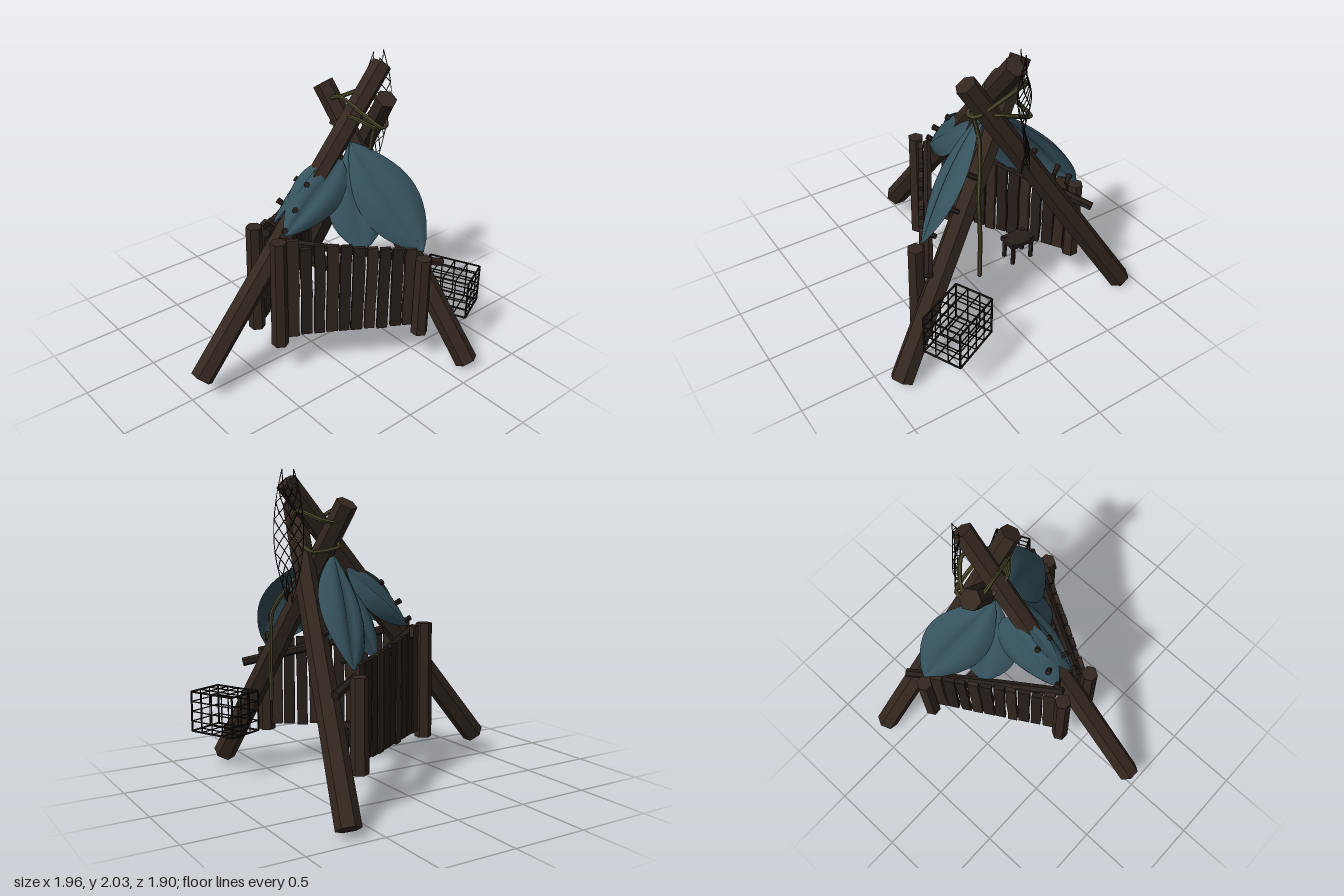
import * as THREE from 'three';
import { mergeGeometries } from 'three/addons/utils/BufferGeometryUtils.js';

const V = (x, y, z) => new THREE.Vector3(x, y, z);
const mat = (color, flatShading = true, side = THREE.FrontSide) =>
  new THREE.MeshStandardMaterial({ color, flatShading, side });

const wood = mat(0x33271f);
const darkWood = mat(0x271e19);
const ropeMat = mat(0x4a4529);
const wireMat = mat(0x1b1816);
const shellMat = mat(0x35525d, false, THREE.DoubleSide);

let seed = 7;
const jitter = (a) => {
  seed = (seed * 16807) % 2147483647;
  return (seed / 2147483647 - 0.5) * 2 * a;
};

// Straight round bar between two points
function barGeometry(a, b, r, sides = 6, rTop = r) {
  const d = b.clone().sub(a);
  const g = new THREE.CylinderGeometry(rTop, r, d.length(), sides);
  g.applyQuaternion(new THREE.Quaternion().setFromUnitVectors(V(0, 1, 0), d.normalize()));
  const m = a.clone().add(b).multiplyScalar(0.5);
  return g.translate(m.x, m.y, m.z);
}

function add(parent, name, geometry, material) {
  const mesh = new THREE.Mesh(geometry, material);
  mesh.name = name;
  parent.add(mesh);
  return mesh;
}

// Folded, pointed leaf-like panel: axis from a to b, bulging along n
function shellGeometry(a, b, n, halfWidth, power, bulge) {
  const U = 16, W = 12, pos = [], idx = [];
  const across = b.clone().sub(a).cross(n).normalize();
  for (let i = 0; i <= U; i++) {
    const u = i / U;
    const w = halfWidth * Math.pow(Math.sin(Math.PI * Math.pow(u, power)), 0.8) || 0;
    for (let j = 0; j <= W; j++) {
      const v = (j / W) * 2 - 1, k = Math.abs(v);
      const lift = bulge * Math.sin(Math.PI * u) * (Math.sin(Math.PI * (0.2 + 0.8 * k)) - 0.25);
      const p = a.clone().lerp(b, u).addScaledVector(across, w * v).addScaledVector(n, lift);
      pos.push(p.x, p.y, p.z);
      if (i < U && j < W) {
        const q = i * (W + 1) + j;
        idx.push(q, q + 1, q + W + 1, q + 1, q + W + 2, q + W + 1);
      }
    }
  }
  const g = new THREE.BufferGeometry();
  g.setAttribute('position', new THREE.Float32BufferAttribute(pos, 3));
  g.setIndex(idx);
  g.computeVertexNormals();
  return g;
}

// One side of the hut; s is +1 for the front, -1 for the back
function buildSide(s) {
  const side = new THREE.Group();
  side.name = s > 0 ? 'frontSide' : 'backSide';
  const P = (x, y, z) => V(x, y, z * s + 0.01);

  // Corner posts
  for (const [x, z, top] of [[-0.38, 0.13, 1.03], [0.43, 0.62, 0.83]])
    add(side, 'cornerPost', barGeometry(P(x, 0.25, z), P(x, top, z), 0.058, 6, 0.054), wood);

  // Fence planks, uneven in height and width
  const tops = [1.02, 0.95, 0.97, 0.96, 0.95, 0.93, 0.92, 0.91, 0.9, 0.89];
  const angle = Math.atan2(0.44, 0.74);
  tops.forEach((top, i) => {
    const t = (i + 0.5) / tops.length, bottom = 0.29 + jitter(0.008);
    const g = new THREE.BoxGeometry(0.074 + jitter(0.006), top - bottom, 0.03, 1, 4, 1);
    const p = g.attributes.position;
    const wave = [0, 1, 2, 3, 4].map(() => jitter(0.005));
    for (let k = 0; k < p.count; k++) {
      const row = Math.round((p.getY(k) / (top - bottom) + 0.5) * 4);
      p.setX(k, p.getX(k) + wave[row]);
    }
    const plank = add(side, 'fencePlank', g, i % 3 ? darkWood : wood);
    plank.position.copy(P(-0.32 + 0.74 * t, (top + bottom) / 2, 0.13 + 0.44 * t));
    plank.rotation.set(0, -angle * s, jitter(0.008));
  });

  // Sloping rail inside the fence
  add(side, 'fenceRail', barGeometry(P(-0.33, 0.99, 0.07), P(0.6, 0.74, 0.63), 0.03, 6), darkWood);

  // Roof shells lying on the sloped plane between two beams
  const n = V(-0.42, 0.51, 0.75 * s).normalize();
  const onRoof = (x, y, lift) =>
    P(x, y, 0.03 + (0.247 * (x - 0.27) - 0.296 * (y - 1.5)) / 0.436).addScaledVector(n, lift);
  add(side, 'middleRoofShell',
    shellGeometry(onRoof(0.28, 1.5, -0.02), onRoof(0.13, 0.88, -0.03), n, 0.19, 1.4, 0.05), shellMat);
  add(side, 'sideRoofShell',
    shellGeometry(onRoof(0.2, 1.4, 0.02), onRoof(-0.28, 1.0, 0.02), n, 0.16, 0.8, 0.06), shellMat);
  add(side, 'sideRoofShell',
    shellGeometry(onRoof(0.28, 1.5, 0.02), onRoof(0.46, 0.85, 0.02), n, 0.205, 1.1, 0.07), shellMat);

  // Pegs pinning the shell edges
  const pegs = [[-0.28, 1.05, 0.07], [-0.2, 1.17, 0.07], [-0.08, 1.3, 0.04],
    [0.46, 1.23, 0.23], [0.5, 1.07, 0.39], [0.46, 0.92, 0.53]];
  for (const [x, y, z] of pegs) {
    const c = P(x, y, z);
    add(side, 'roofPeg', barGeometry(c.clone().addScaledVector(n, -0.04),
      c.clone().addScaledVector(n, 0.03), 0.015, 6, 0.02), darkWood);
  }
  return side;
}

// Wire cage: wires run over all six faces of a box
function buildCage() {
  const size = [0.26, 0.27, 0.36], cells = [3, 4, 4], bars = [];
  for (let axis = 0; axis < 3; axis++) {
    const b = (axis + 1) % 3, c = (axis + 2) % 3;
    for (let i = 0; i <= cells[b]; i++)
      for (let j = 0; j <= cells[c]; j++) {
        const edgeB = i % cells[b] === 0, edgeC = j % cells[c] === 0;
        if (!edgeB && !edgeC) continue;
        const p = [0, 0, 0];
        p[b] = (i / cells[b] - 0.5) * size[b];
        p[c] = (j / cells[c] - 0.5) * size[c];
        const q = p.slice();
        p[axis] = -size[axis] / 2;
        q[axis] = size[axis] / 2;
        bars.push(barGeometry(V(...p), V(...q), edgeB && edgeC ? 0.007 : 0.0045, 5));
      }
  }
  const cage = new THREE.Mesh(mergeGeometries(bars), wireMat);
  cage.name = 'wireCage';
  cage.position.set(0.78, 0.435, 0.55);
  cage.rotation.y = Math.atan2(0.15, 0.33);
  return cage;
}

// Hanging net with diamond mesh
function buildNet() {
  const rows = 16, half = 3, cords = [];
  const node = (i, j) => {
    const v = i / rows, u = j / half;
    const w = 0.095 * Math.sin(Math.PI * (0.12 + 0.83 * v));
    const sag = 0.02 * Math.sin(v * 9 + u * 2);
    return V(0.575 + 0.02 * v + u * w * 0.7 + sag * 0.6, 1.97 - 0.69 * v + 0.06 * u * u * (v - 0.5) * -2,
      -0.02 - 0.04 * v + u * w * 0.75 - sag);
  };
  for (let i = 0; i < rows; i++)
    for (let j = -half; j <= half; j++) {
      if ((i + j + half) % 2) continue;
      for (const d of [-1, 1])
        if (Math.abs(j + d) <= half) cords.push(barGeometry(node(i, j), node(i + 1, j + d), 0.0032, 4));
    }
  // Border cords
  for (const j of [-half, half])
    for (let i = 0; i < rows; i++) cords.push(barGeometry(node(i, j), node(i + 1, j), 0.003, 4));
  const net = new THREE.Mesh(mergeGeometries(cords), wireMat);
  net.name = 'hangingNet';
  return net;
}

export function createModel() {
  seed = 7;
  const model = new THREE.Group();
  model.name = 'hut';

  // Three crossing beams
  const beams = [
    [V(-0.93, 0.16, 0.02), V(0.57, 1.955, 0.02)],
    [V(0.65, 0.045, 0.885), V(0.28, 1.825, -0.225)],
    [V(0.67, 0.045, -0.885), V(0.4, 1.825, 0.25)],
  ];
  for (const [a, b] of beams) add(model, 'mainBeam', barGeometry(a, b, 0.078, 6, 0.07), wood);

  model.add(buildSide(1), buildSide(-1));

  // Small stool inside
  const stool = new THREE.Group();
  stool.name = 'stool';
  add(stool, 'stoolSeat', new THREE.BoxGeometry(0.14, 0.03, 0.19), darkWood).position.y = 0.43;
  for (const x of [-0.05, 0.05])
    for (const z of [-0.075, 0.075])
      add(stool, 'stoolLeg', barGeometry(V(x, 0.28, z), V(x, 0.45, z), 0.017, 5), darkWood);
  stool.position.set(0.3, 0, -0.25);
  model.add(stool);

  // Rope lashing around the crossing, and its hanging end
  const rope = (name, pts, closed) => add(model, name, new THREE.TubeGeometry(
    new THREE.CatmullRomCurve3(pts.map((p) => V(...p)), closed, 'catmullrom', 0.25), 40, 0.014, 6, closed), ropeMat);
  rope('ropeLashing', [[0.28, 1.78, -0.05], [0.38, 1.63, 0.22], [0.46, 1.63, 0.2],
    [0.53, 1.78, -0.04], [0.42, 1.72, -0.17], [0.28, 1.7, -0.2]], true);
  rope('ropeLashing', [[0.27, 1.68, 0.07], [0.38, 1.61, 0.19], [0.5, 1.62, 0.08],
    [0.49, 1.53, -0.16], [0.3, 1.56, -0.16]], true);
  rope('hangingRope', [[0.37, 1.61, 0.18], [0.38, 1.42, 0.14], [0.48, 1.28, 0.2],
    [0.56, 1.12, 0.26], [0.575, 0.85, 0.255], [0.575, 0.54, 0.255]], false);

  model.add(buildCage(), buildNet());
  return model;
}
